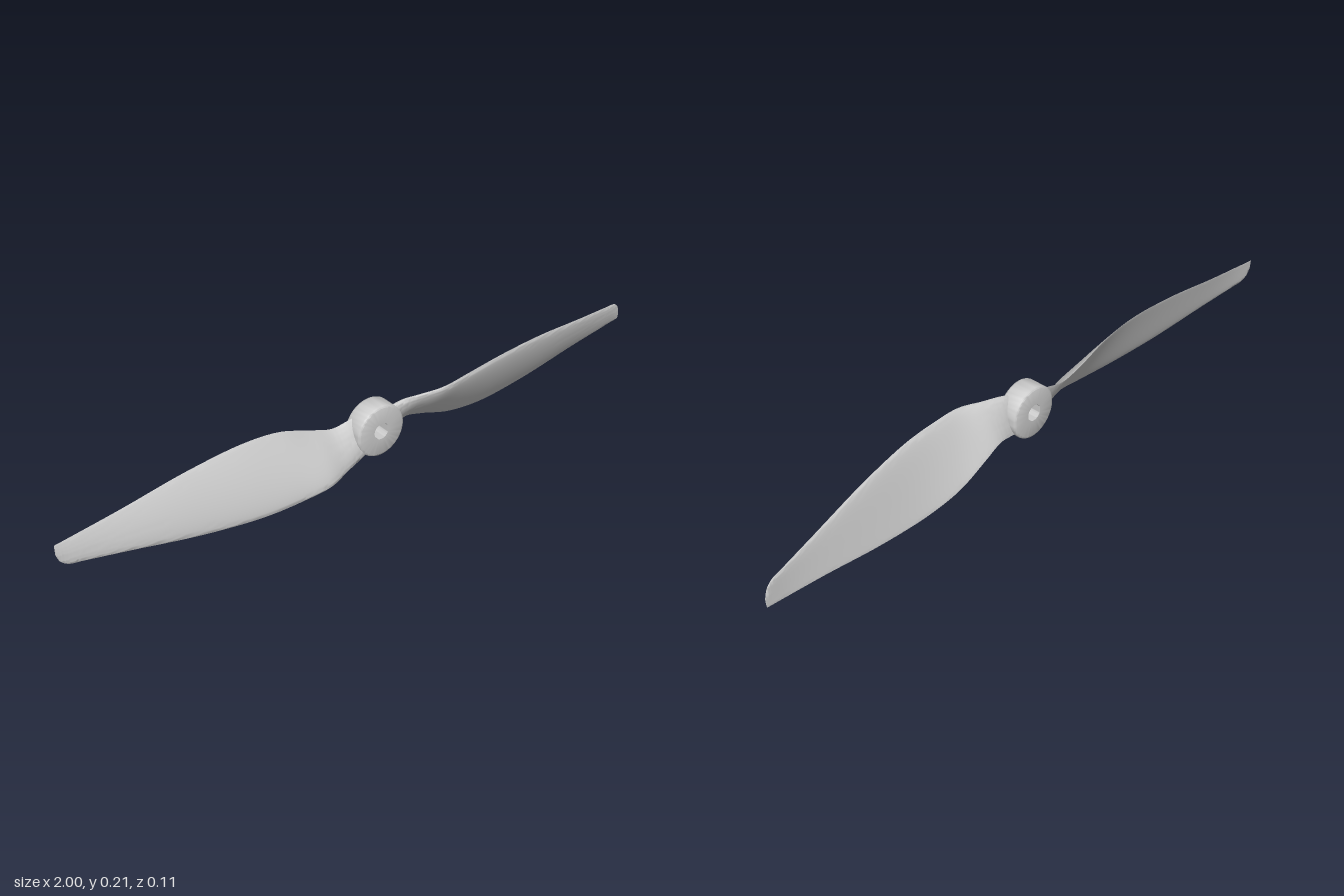
import * as THREE from 'three';
import { toCreasedNormals } from 'three/addons/utils/BufferGeometryUtils.js';

const HUB_Y = 0.107;
const material = new THREE.MeshStandardMaterial({ color: 0xcccccc });

// Blade stations: x, leading edge y z, trailing edge y z, thickness / chord
const STATIONS = [
  [0.045, 0.060, 0.006, -0.050, -0.030, 0.20],
  [0.08, 0.069, 0.013, -0.042, -0.034, 0.18],
  [0.13, 0.073, 0.028, -0.034, -0.040, 0.14],
  [0.20, 0.080, 0.049, -0.055, -0.046, 0.11],
  [0.30, 0.087, 0.046, -0.091, -0.049, 0.09],
  [0.42, 0.090, 0.035, -0.106, -0.048, 0.08],
  [0.60, 0.077, 0.010, -0.095, -0.050, 0.08],
  [0.80, 0.048, -0.020, -0.066, -0.053, 0.08],
  [0.93, 0.030, -0.040, -0.050, -0.055, 0.08],
  [0.97, 0.024, -0.046, -0.045, -0.056, 0.08],
  [0.99, 0.010, -0.050, -0.043, -0.056, 0.08],
  [1.00, -0.012, -0.053, -0.042, -0.056, 0.08],
];

// Lofts a twisted aerofoil between the leading and trailing edge curves
function bladeGeometry() {
  const curve = (f) => new THREE.CatmullRomCurve3(STATIONS.map((s) => new THREE.Vector3(...f(s))));
  const lead = curve((s) => [s[0], s[1], s[2]]);
  const trail = curve((s) => [s[0], s[3], s[4]]);
  const thickness = curve((s) => [s[0], s[5], 0]);
  const ROWS = 88, HALF = 20, RING = HALF * 2;
  const pos = [], index = [];

  for (let i = 0; i <= ROWS; i++) {
    const u = i / ROWS;
    const a = lead.getPoint(u), b = trail.getPoint(u), thick = thickness.getPoint(u).y;
    const d = b.clone().sub(a);
    for (let j = 0; j < RING; j++) {
      const front = j <= HALF;
      const k = front ? j / HALF : (RING - j) / HALF;
      const t = (1 - Math.cos(Math.PI * k)) / 2;
      // Rounded nose, thin tail, front side more convex than the back
      const half = 1.3 * thick * Math.sqrt(t) * (1 - t) + 0.012 * Math.sin(Math.PI * k);
      const camber = 0.1 * t * (1 - t);
      const off = camber + (front ? half : -half);
      pos.push(a.x + d.x * t, a.y + d.y * t + d.z * off, a.z + d.z * t - d.y * off);
    }
  }
  for (let i = 0; i < ROWS; i++) {
    for (let j = 0; j < RING; j++) {
      const n = (j + 1) % RING;
      const p = i * RING + j, q = i * RING + n;
      index.push(p, q, p + RING, q, q + RING, p + RING);
    }
  }
  // End caps
  const tip = ROWS * RING;
  for (let j = 1; j < RING - 1; j++) {
    index.push(0, j + 1, j, tip, tip + j, tip + j + 1);
  }
  const geometry = new THREE.BufferGeometry();
  geometry.setAttribute('position', new THREE.Float32BufferAttribute(pos, 3));
  geometry.setIndex(index);
  return toCreasedNormals(geometry, 0.9);
}

// Bored hub with softened rims, its axis turned to z
function hubGeometry() {
  const back = -0.047, front = 0.017, outer = 0.08, bore = 0.025, r = 0.006;
  const profile = [
    [bore, back], [outer - r, back], [outer - r * 0.3, back + r * 0.3], [outer, back + r],
    [outer, front - r], [outer - r * 0.3, front - r * 0.3], [outer - r, front],
    [bore, front], [bore, back],
  ].map(([x, y]) => new THREE.Vector2(x, y));
  const geometry = new THREE.LatheGeometry(profile, 64);
  geometry.rotateX(Math.PI / 2);
  return toCreasedNormals(geometry, 0.9);
}

export function createModel() {
  const model = new THREE.Group();
  model.name = 'propeller';

  const add = (name, geometry, turn = 0) => {
    const mesh = new THREE.Mesh(geometry, material);
    mesh.name = name;
    mesh.position.y = HUB_Y;
    mesh.rotation.z = turn;
    model.add(mesh);
  };

  add('hub', hubGeometry());
  const blade = bladeGeometry();
  add('leftBlade', blade);
  add('rightBlade', blade, Math.PI);
  return model;
}
